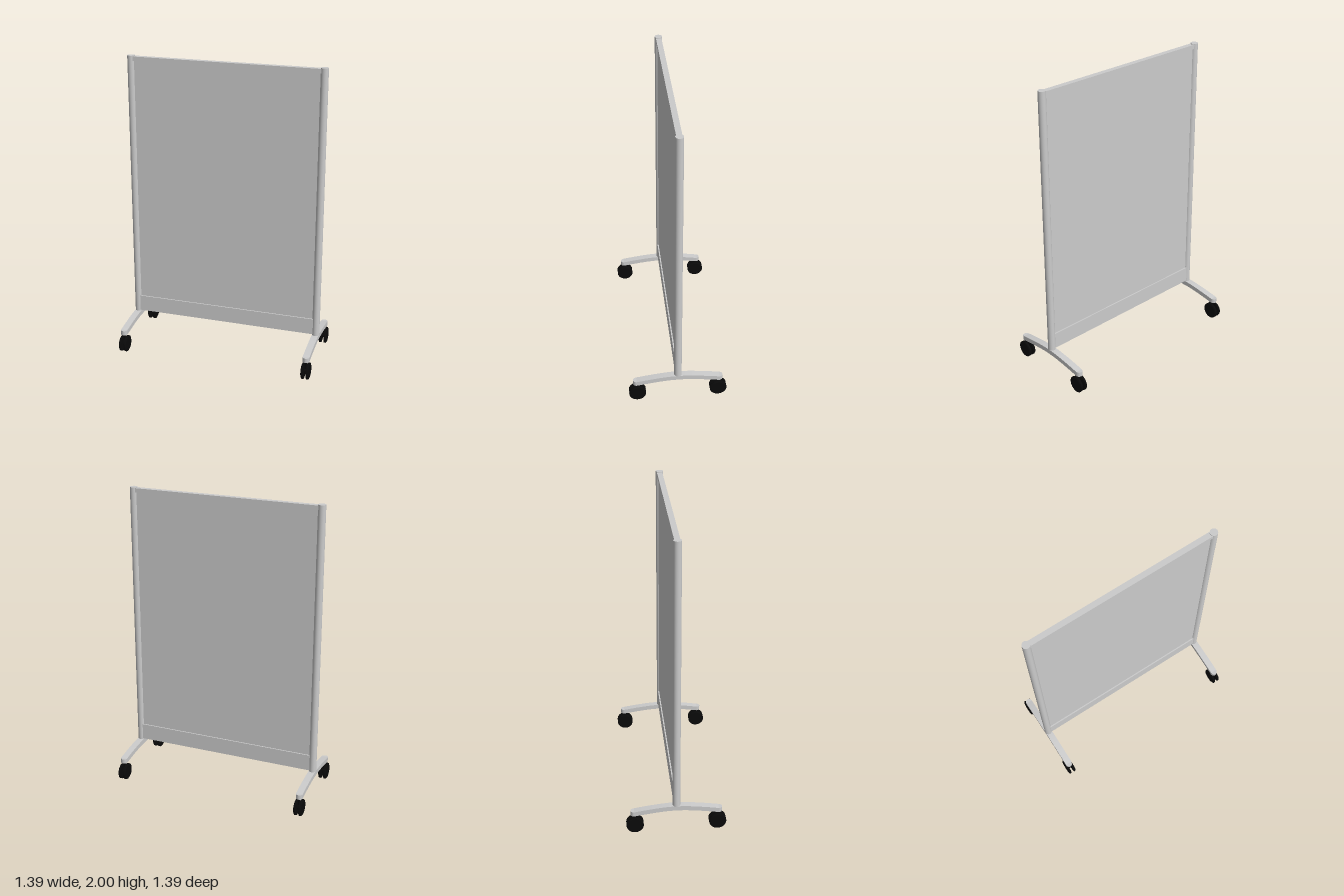
import * as THREE from 'three';

const grey = new THREE.MeshStandardMaterial({ color: 0xcccccc });
const black = new THREE.MeshStandardMaterial({ color: 0x0a0a0a });

const HALF = 0.637;      // post distance from the centre, along the screen
const CASTER = 0.268;    // caster distance from the post, along the foot
const ARM_R = 0.0225;    // half width of the foot arm

function part(name, geometry, material, x = 0, y = 0, z = 0) {
  const mesh = new THREE.Mesh(geometry, material);
  mesh.name = name;
  mesh.position.set(x, y, z);
  return mesh;
}

// Bowed arm: a rounded slot outline extruded upward, then bent along its length
function footArmGeometry() {
  const c = CASTER + 0.006, steps = 24;
  const outline = new THREE.Shape();
  outline.moveTo(ARM_R, -c);
  for (let i = 1; i <= steps; i++) outline.lineTo(ARM_R, -c + (2 * c * i) / steps);
  outline.absarc(0, c, ARM_R, 0, Math.PI, false);
  for (let i = 1; i <= steps; i++) outline.lineTo(-ARM_R, c - (2 * c * i) / steps);
  outline.absarc(0, -c, ARM_R, Math.PI, Math.PI * 2, false);
  // Cross strips keep the bend smooth: build the slot as top and bottom surfaces
  const rows = [];
  const halfWidth = (z) => {
    const over = Math.max(0, Math.abs(z) - c);
    return Math.sqrt(Math.max(0, ARM_R * ARM_R - over * over));
  };
  for (let i = 0; i <= 6; i++) rows.push(-c - ARM_R * Math.cos((i / 6) * Math.PI / 2));
  for (let i = 1; i < steps; i++) rows.push(-c + (2 * c * i) / steps);
  for (let i = 0; i <= 6; i++) rows.push(c + ARM_R * Math.sin((i / 6) * Math.PI / 2));
  const top = (z) => {
    const t = Math.min(1, Math.max(0, (Math.abs(z) - 0.03) / (c - 0.03)));
    return 0.188 - 0.03 * Math.pow(t, 1.4);
  };
  const pos = [];
  const quad = (a, b, d, e) => pos.push(...a, ...b, ...d, ...a, ...d, ...e);
  for (let i = 0; i < rows.length - 1; i++) {
    const ring = [rows[i], rows[i + 1]].map((z) => {
      const w = halfWidth(z), y = top(z);
      return [[-w, y, z], [w, y, z], [w, y - 0.032, z], [-w, y - 0.032, z]];
    });
    for (let k = 0; k < 4; k++) {
      const n = (k + 1) % 4;
      quad(ring[0][k], ring[1][k], ring[1][n], ring[0][n]);
    }
  }
  const geometry = new THREE.BufferGeometry();
  geometry.setAttribute('position', new THREE.Float32BufferAttribute(pos, 3));
  geometry.computeVertexNormals();
  return geometry;
}

// Twin wheels joined by a hub, turned about the x axis
function twinWheelGeometry() {
  const profile = [
    [0, -0.026], [0.048, -0.026], [0.056, -0.022], [0.056, -0.011], [0.05, -0.009], [0.018, -0.008],
    [0.018, 0.008], [0.05, 0.009], [0.056, 0.011], [0.056, 0.022], [0.048, 0.026], [0, 0.026],
  ].map(([r, x]) => new THREE.Vector2(r, x));
  const geometry = new THREE.LatheGeometry(profile, 24).toNonIndexed();
  geometry.computeVertexNormals();
  return geometry.rotateZ(Math.PI / 2);
}

export function createModel() {
  const model = new THREE.Group();
  model.name = 'mobileScreen';
  const screen = new THREE.Group();
  screen.name = 'screen';
  screen.rotation.y = -Math.PI / 4;   // the screen stands diagonally
  model.add(screen);

  // Panel and its two rails
  const span = 2 * HALF - 0.02;
  screen.add(part('panel', new THREE.BoxGeometry(span, 1.68, 0.019), grey, 0, 1.135, 0));
  screen.add(part('topRail', new THREE.BoxGeometry(span, 0.028, 0.036), grey, 0, 1.981, 0));
  screen.add(part('bottomRail', new THREE.BoxGeometry(span, 0.11, 0.036), grey, 0, 0.25, 0));

  // Each end: round post, bowed foot arm and two casters
  const postGeometry = new THREE.CylinderGeometry(0.025, 0.025, 1.815, 32);
  const armGeometry = footArmGeometry();
  const wheelGeometry = twinWheelGeometry();
  const stemGeometry = new THREE.CylinderGeometry(0.008, 0.008, 0.08, 12);
  for (const side of [-1, 1]) {
    const end = new THREE.Group();
    end.name = side > 0 ? 'leftEnd' : 'rightEnd';
    end.position.x = side * HALF;
    end.add(part('post', postGeometry, grey, 0, 1.0925, 0));
    end.add(part('footArm', armGeometry, grey));
    for (const dir of [-1, 1]) {
      end.add(part('casterWheels', wheelGeometry, black, 0, 0.056, dir * CASTER));
      end.add(part('casterStem', stemGeometry, black, 0, 0.098, dir * CASTER));
    }
    screen.add(end);
  }
  return model;
}
